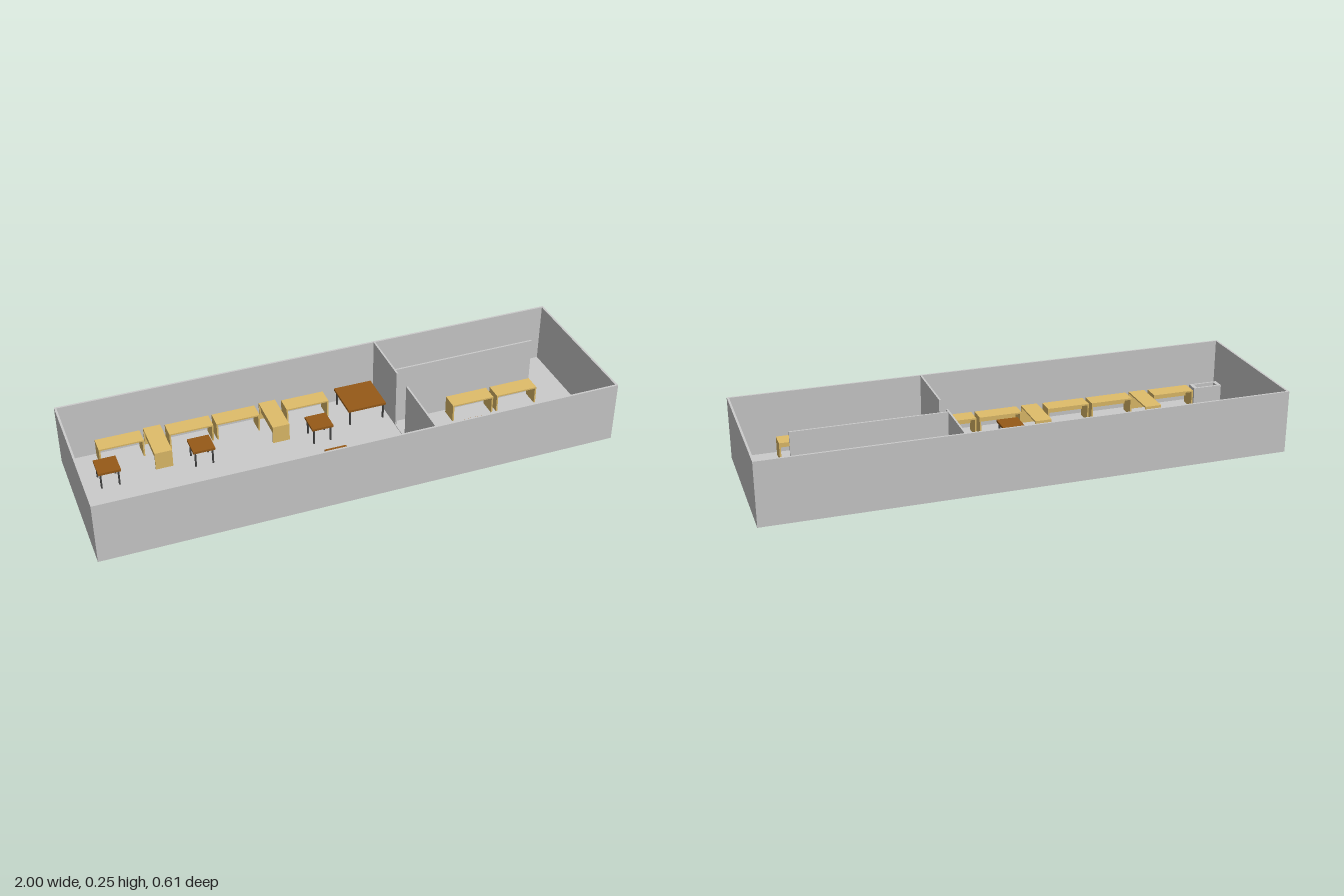
import * as THREE from 'three';

const mat = (color) => new THREE.MeshStandardMaterial({ color });

export function createModel() {
  const model = new THREE.Group();
  const grey = mat(0xcccccc), wood = mat(0xe0bd6a), brown = mat(0x965a18), metal = mat(0x444444), dark = mat(0x888888);

  // box given by its extents on each axis
  const block = (parent, name, m, x0, x1, y0, y1, z0, z1) => {
    const mesh = new THREE.Mesh(new THREE.BoxGeometry(x1 - x0, y1 - y0, z1 - z0), m);
    mesh.position.set((x0 + x1) / 2, (y0 + y1) / 2, (z0 + z1) / 2);
    mesh.name = name;
    parent.add(mesh);
  };
  const group = (name, x, z, turn = 0) => {
    const g = new THREE.Group();
    g.name = name;
    g.position.set(x, 0, z);
    g.rotation.y = turn;
    model.add(g);
    return g;
  };

  // shell of the building, open at the top
  const H = 0.245, W = 1, D = 0.303, T = 0.008, F = 0.004;
  block(model, 'floor', grey, -W, W, 0, F, -D, D);
  for (const s of [-1, 1]) {
    block(model, s > 0 ? 'frontWall' : 'backWall', grey, -W, W, 0, H, s * D - (s > 0 ? T : 0), s * D + (s > 0 ? 0 : T));
    block(model, s > 0 ? 'leftWall' : 'rightWall', grey, s * W - (s > 0 ? T : 0), s * W + (s > 0 ? 0 : T), 0, H, -D + T, D - T);
  }

  // inner partitions with a doorway
  block(model, 'dividerBack', grey, 0.256, 0.263, F, H, -D + T, -0.062);
  block(model, 'dividerFront', grey, 0.256, 0.263, F, H, 0.03, D - T);
  block(model, 'doorSill', grey, 0.256, 0.263, F, F + 0.003, -0.062, 0.03);
  block(model, 'roomPartition', grey, 0.263, 0.84, F, H, -0.093, -0.086);

  // desk: top, two end panels and a modesty panel
  const L = 0.172, P = 0.067, h = 0.077;
  const desk = (x, z, turn) => {
    const g = group('desk', x, z, turn);
    block(g, 'deskTop', wood, -L / 2, L / 2, h - 0.006, h, -P / 2, P / 2);
    for (const s of [-1, 1]) {
      const c = s * (L / 2 - 0.003);
      block(g, 'endPanel', wood, c - 0.003, c + 0.003, F, h - 0.006, -P / 2, P / 2);
    }
    block(g, 'modestyPanel', wood, -L / 2 + 0.006, L / 2 - 0.006, 0.035, h - 0.006, -P / 2 + 0.006, -P / 2 + 0.011);
  };
  for (const x of [-0.785, -0.515, -0.33]) desk(x, -0.25, 0);
  desk(-0.05, -0.245, 0);
  for (const x of [-0.77, -0.5, -0.315, -0.033, 0.153, 0.374, 0.56, 0.748]) desk(x, 0.239, Math.PI);
  for (const x of [0.56, 0.748]) desk(x, -0.04, 0);
  for (const x of [-0.65, -0.19]) desk(x, -0.206, Math.PI / 2);
  for (const x of [-0.635, -0.173]) desk(x, 0.189, Math.PI / 2);

  // tables on four thin legs
  const table = (x, z, w, d) => {
    const g = group('table', x, z);
    block(g, 'tableTop', brown, -w / 2, w / 2, h - 0.009, h, -d / 2, d / 2);
    for (const sx of [-1, 1]) for (const sz of [-1, 1]) {
      const cx = sx * (w / 2 - 0.009), cz = sz * (d / 2 - 0.009);
      block(g, 'tableLeg', metal, cx - 0.003, cx + 0.003, F, h - 0.009, cz - 0.003, cz + 0.003);
    }
  };
  for (const [x, z] of [[-0.863, -0.119], [-0.505, -0.121], [-0.045, -0.098], [-0.045, 0.122], [0.512, 0.132]])
    table(x, z, 0.085, 0.088);
  table(0.162, -0.2, 0.155, 0.162);

  // corner counter with a sunken basin
  const counter = group('counter', -0.93, 0.248);
  const ring = (w, d) => [[-w, -d], [w, -d], [w, d], [-w, d]].map(([x, y]) => new THREE.Vector2(x, y));
  const rim = new THREE.Shape(ring(0.06, 0.024));
  rim.holes.push(new THREE.Path(ring(0.044, 0.016)));
  const body = new THREE.Mesh(new THREE.ExtrudeGeometry(rim, { depth: h - F, bevelEnabled: false }), grey);
  body.name = 'counterBody';
  body.rotation.x = -Math.PI / 2;
  body.position.y = F;
  counter.add(body);
  block(counter, 'basin', dark, -0.044, 0.044, 0.05, 0.056, -0.016, 0.016);

  return model;
}
